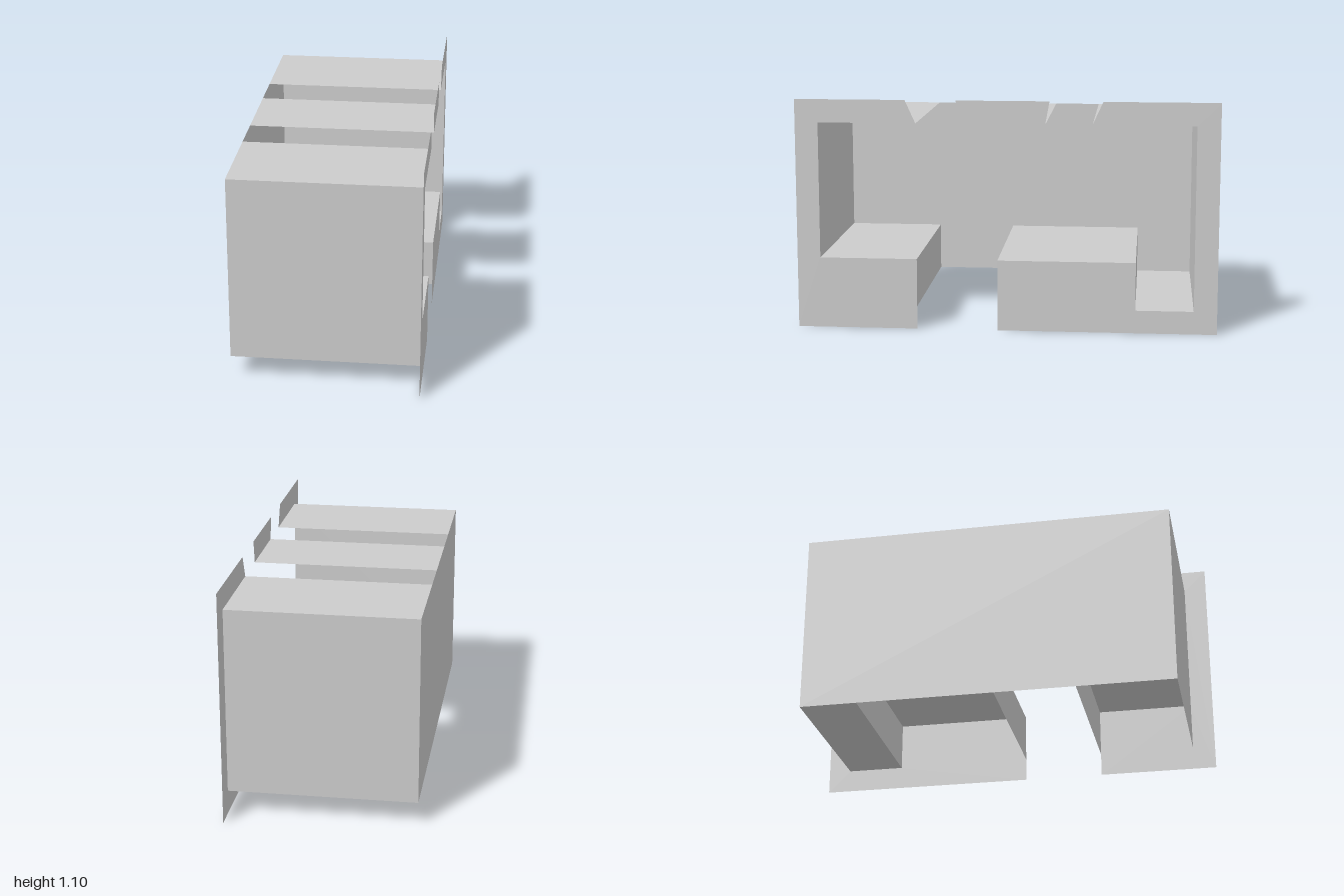
import * as THREE from 'three';

const W = 0.44; // half width
const material = new THREE.MeshStandardMaterial({ color: 0xcccccc, side: THREE.DoubleSide, flatShading: true });

// Flat sheet at a given x, outlined by [z, y] points
function sidePlate(name, x, outline) {
  const shape = new THREE.Shape(outline.map(([z, y]) => new THREE.Vector2(z, y)));
  const geometry = new THREE.ShapeGeometry(shape).rotateY(-Math.PI / 2).translate(x, 0, 0);
  const mesh = new THREE.Mesh(geometry, material);
  mesh.name = name;
  return mesh;
}

// Folded sheet spanning the full width, following a [z, y] path
function foldedSheet(name, path) {
  const positions = [];
  for (let i = 0; i < path.length - 1; i++) {
    const [z0, y0] = path[i], [z1, y1] = path[i + 1];
    positions.push(-W, y0, z0, W, y0, z0, W, y1, z1, -W, y0, z0, W, y1, z1, -W, y1, z1);
  }
  const geometry = new THREE.BufferGeometry();
  geometry.setAttribute('position', new THREE.Float32BufferAttribute(positions, 3));
  geometry.computeVertexNormals();
  const mesh = new THREE.Mesh(geometry, material);
  mesh.name = name;
  return mesh;
}

export function createModel() {
  const group = new THREE.Group();
  group.name = 'openCasing';

  group.add(
    // Closed side
    sidePlate('closedSideWall', -W, [[-0.89, 0.11], [0.89, 0.11], [0.89, 0.99], [-0.89, 0.99]]),

    // Front wall with its roof strip, and the raised front shelf
    foldedSheet('frontWallAndRoof', [[0.89, 0.11], [0.89, 0.99], [0.425, 0.99]]),
    foldedSheet('frontShelf', [[0.89, 0.34], [0.425, 0.34], [0.425, 0.11]]),

    // Middle roof strip
    foldedSheet('middleRoof', [[0.21, 0.99], [-0.185, 0.99]]),

    // Stepped floor, back wall and back roof strip in one folded sheet
    foldedSheet('floorBackWallAndRoof', [
      [0.04, 0.11], [0.04, 0.34], [-0.615, 0.34], [-0.615, 0.11],
      [-0.89, 0.11], [-0.89, 0.99], [-0.405, 0.99],
    ]),

    // Flanges around the open side
    sidePlate('frontFlange', W, [
      [1, 0], [0.425, 0], [0.425, 0.34], [0.89, 0.34],
      [0.89, 0.99], [0.425, 0.99], [0.475, 1.1], [1, 1.1],
    ]),
    sidePlate('middleFlange', W, [[0.21, 0.99], [-0.185, 0.99], [-0.205, 1.1], [0.235, 1.1]]),
    sidePlate('backFlange', W, [
      [-1, 0], [0.04, 0], [0.04, 0.34], [-0.615, 0.34], [-0.615, 0.11],
      [-0.89, 0.11], [-0.89, 0.99], [-0.405, 0.99], [-0.455, 1.1], [-1, 1.1],
    ]),
  );
  return group;
}
